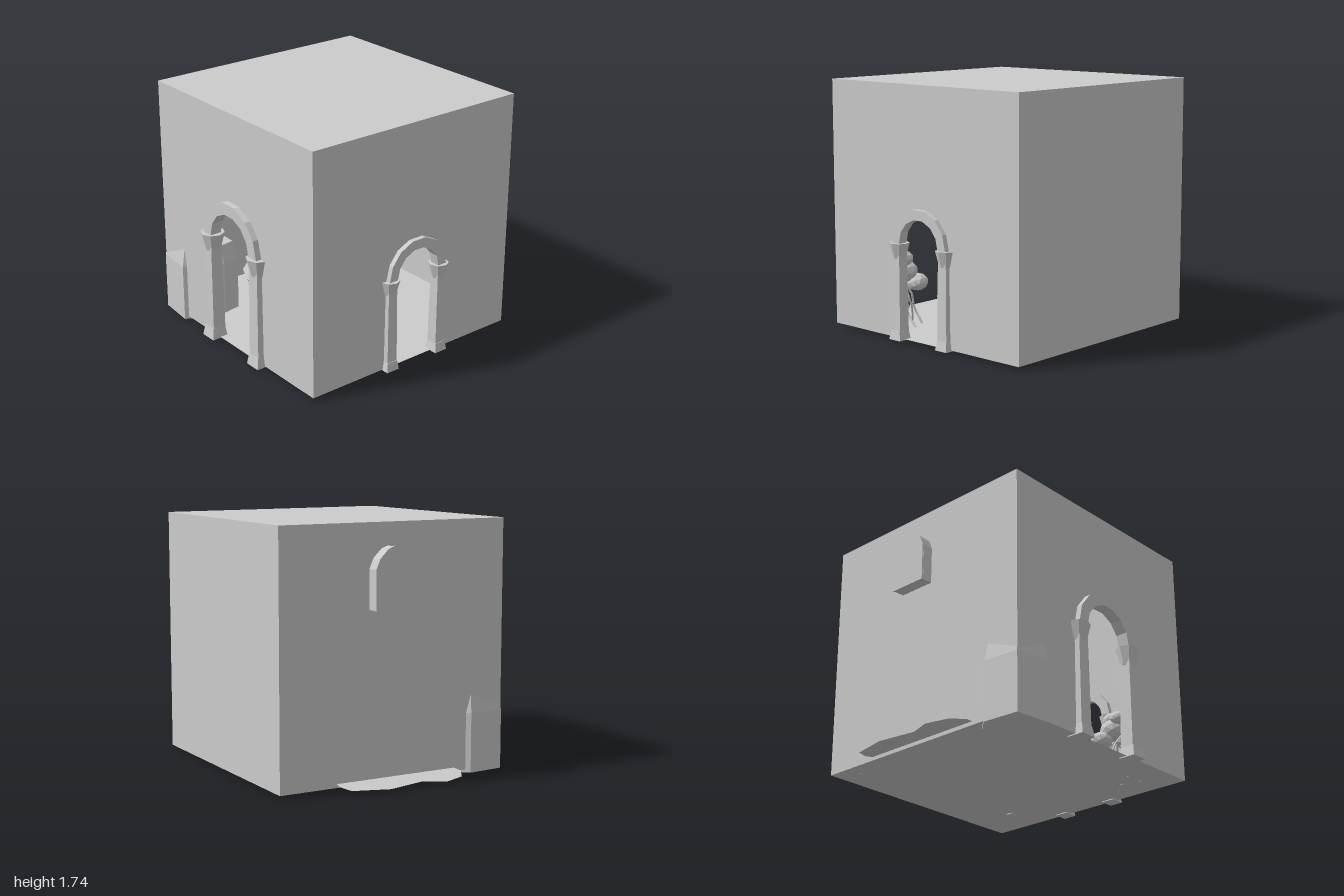
import * as THREE from 'three';
import { ConvexGeometry } from 'three/addons/geometries/ConvexGeometry.js';

const FLOOR = 0.025, TOP = 1.74, X0 = -0.82, X1 = 0.895, Z0 = -0.785, Z1 = 0.93;
const mat = new THREE.MeshStandardMaterial({ color: 0xcccccc, flatShading: true, side: THREE.DoubleSide });

function add(parent, name, geo, x = 0, y = 0, z = 0) {
  const m = new THREE.Mesh(geo, mat);
  m.name = name;
  m.position.set(x, y, z);
  parent.add(m);
  return m;
}

// Square post with a given half width at the bottom and the top
function post(bottom, top, h) {
  return new THREE.CylinderGeometry(top * Math.SQRT2, bottom * Math.SQRT2, h, 4).rotateY(Math.PI / 4).translate(0, h / 2, 0);
}

// Seven-sided half ring, running from right to left
function arc(r, y) {
  return Array.from({ length: 8 }, (_, i) => {
    const a = Math.PI * i / 7;
    return new THREE.Vector2(r * Math.cos(a), y + r * Math.sin(a));
  });
}

// Wall with an arched opening, framed by two pillars and an arch
function doorWall(name, lo, hi, s) {
  const g = new THREE.Group();
  g.name = name;
  const h = TOP - FLOOR, spring = 0.655;
  const e = 0.2 * s;
  const outline = [[lo, 0], [-e, 0], ...arc(e, spring * s).reverse().map(p => [p.x, p.y]), [e, 0], [hi, 0], [hi, h], [lo, h]];
  add(g, 'wall', new THREE.ShapeGeometry(new THREE.Shape(outline.map(p => new THREE.Vector2(...p)))));
  const frame = new THREE.Group();
  frame.name = 'doorFrame';
  frame.scale.setScalar(s);
  g.add(frame);
  const ring = new THREE.Shape([...arc(0.25, spring), ...arc(0.18, spring).reverse()]);
  add(frame, 'arch', new THREE.ExtrudeGeometry(ring, { depth: 0.07, bevelEnabled: false }), 0, 0, -0.035);
  for (const side of [-1, 1]) {
    const x = side * 0.2175;
    add(frame, 'pillar', post(0.041, 0.036, 0.58), x, 0, -0.003);
    add(frame, 'pillarBase', post(0.051, 0.041, 0.065), x, -0.006, 0);
    add(frame, 'capital', new THREE.CylinderGeometry(0.07, 0.043, 0.105, 8), x, 0.6025, -0.004);
  }
  return g;
}

export function createModel() {
  const model = new THREE.Group();
  model.name = 'chamber';
  const w = X1 - X0, d = Z1 - Z0, h = TOP - FLOOR;
  const cx = (X0 + X1) / 2, cy = (FLOOR + TOP) / 2, cz = (Z0 + Z1) / 2;

  // Room shell
  const front = doorWall('frontWall', X0 - 0.04, X1 - 0.04, 1);
  front.position.set(0.04, FLOOR, Z1);
  const side = doorWall('rightWall', Z0 - 0.08, Z1 - 0.08, 1.207);
  side.position.set(X0, FLOOR, 0.08);
  side.rotation.y = -Math.PI / 2;
  model.add(front, side);
  add(model, 'roof', new THREE.PlaneGeometry(w, d).rotateX(-Math.PI / 2), cx, TOP, cz);
  add(model, 'floor', new THREE.PlaneGeometry(w, d).rotateX(-Math.PI / 2), cx, FLOOR, cz);
  add(model, 'backWall', new THREE.PlaneGeometry(w, h).rotateY(Math.PI), cx, cy, Z0);
  add(model, 'leftWall', new THREE.PlaneGeometry(d, h).rotateY(Math.PI / 2), X1, cy, cz);

  // Pointed window niche on the back wall, with a thin rim
  const windowShape = k => new THREE.Shape([[-0.14, -0.21], [0.14, -0.21], [0.14, 0.06], [0.11, 0.13], [0.05, 0.19],
    [0, 0.21], [-0.05, 0.19], [-0.11, 0.13], [-0.14, 0.06]].map(([x, y]) => new THREE.Vector2(x * k, y * k)));
  const niche = (k, depth) => new THREE.ExtrudeGeometry(windowShape(k), { depth, bevelEnabled: false });
  add(model, 'windowNiche', niche(0.98, 0.08), 0.1, 1.38, -0.86);
  add(model, 'windowRim', niche(1, 0.012), 0.1, 1.38, -0.876);

  // Boulder block breaking through the back corner
  const foot = [[-0.823, -0.79], [-0.56, -0.81], [-0.44, -0.7], [-0.45, -0.42], [-0.58, -0.4], [-0.847, -0.53]];
  const block = [];
  for (const [y, k] of [[0.005, 1], [0.42, 1], [0.55, 0.87]]) {
    for (const [x, z] of foot) block.push(new THREE.Vector3(-0.64 + (x + 0.64) * k, y, -0.61 + (z + 0.61) * k));
  }
  add(model, 'cornerBlock', new ConvexGeometry(block));

  // Ground sheet spreading out behind the wall, sloping away from it
  const sheet = new THREE.ShapeGeometry(new THREE.Shape([[-0.42, 0.7], [-0.45, 0.85], [-0.39, 0.95], [-0.24, 1], [-0.08, 0.94],
    [0.19, 0.99], [0.45, 0.93], [0.49, 0.84], [0.46, 0.7]].map(p => new THREE.Vector2(...p)))).rotateX(-Math.PI / 2);
  const sp = sheet.attributes.position;
  for (let i = 0; i < sp.count; i++) sp.setY(i, 0.025 + (1 + sp.getZ(i)) * 0.12);
  sheet.computeVertexNormals();
  add(model, 'groundSheet', sheet);

  // Basin with an overhanging rim and a small drop
  const basin = [[0.3, 0], [0.34, 0.035], [0.34, 0.115], [0.38, 0.17], [0.32, 0.17], [0.28, 0.1], [0, 0.1]];
  add(model, 'basin', new THREE.LatheGeometry(basin.map(p => new THREE.Vector2(...p)), 14), 0.03, FLOOR, -0.38);
  add(model, 'drop', new THREE.OctahedronGeometry(0.02).scale(1, 1.3, 1), 0.03, 0.15, 0.02);

  // Curved stem carrying broad flat leaves
  const stem = new THREE.CatmullRomCurve3([[-0.2, FLOOR, -0.1], [-0.14, 0.32, -0.1], [-0.08, 0.55, -0.1], [-0.04, 0.66, -0.1], [0.02, 0.695, -0.1]]
    .map(p => new THREE.Vector3(...p)));
  add(model, 'stem', new THREE.TubeGeometry(stem, 12, 0.006, 5));
  for (const [x, y, r] of [[-0.13, 0.265, 0.11], [0.01, 0.423, 0.12], [0.065, 0.563, 0.145], [0.11, 0.697, 0.13]]) {
    add(model, 'leaf', new THREE.SphereGeometry(r, 10, 5).scale(1, 0.1, 0.7), x, y, -0.1);
  }

  // Gnarled bush with rounded clumps and bare roots
  for (const [x, y, z, r] of [[-0.46, 0.4, 0.62, 0.1], [-0.4, 0.32, 0.55, 0.08], [-0.52, 0.33, 0.68, 0.08], [-0.42, 0.5, 0.66, 0.07], [-0.54, 0.46, 0.57, 0.06]]) {
    add(model, 'clump', new THREE.IcosahedronGeometry(r, 1).scale(1, 0.8, 1), x, y, z);
  }
  for (let i = 0; i < 7; i++) {
    const a = i * 0.9, c = Math.cos(a), s = Math.sin(a);
    const root = new THREE.CatmullRomCurve3([[-0.455, 0.36, 0.66], [-0.455 + 0.08 * c, 0.24, 0.66 + 0.08 * s],
      [-0.455 + 0.06 * c, 0.14, 0.66 + 0.12 * s], [-0.455 + 0.15 * c, FLOOR, 0.66 + 0.15 * s]].map(p => new THREE.Vector3(...p)));
    add(model, 'root', new THREE.TubeGeometry(root, 8, 0.008, 5));
  }

  // Small stones half sunk in the floor
  for (const [x, z, r] of [[0.54, 0.655, 0.045], [0.72, -0.66, 0.018], [-0.455, 0.705, 0.022]]) {
    add(model, 'stone', new THREE.IcosahedronGeometry(r, 0).scale(1, 0.4, 1), x, FLOOR, z);
  }
  return model;
}
